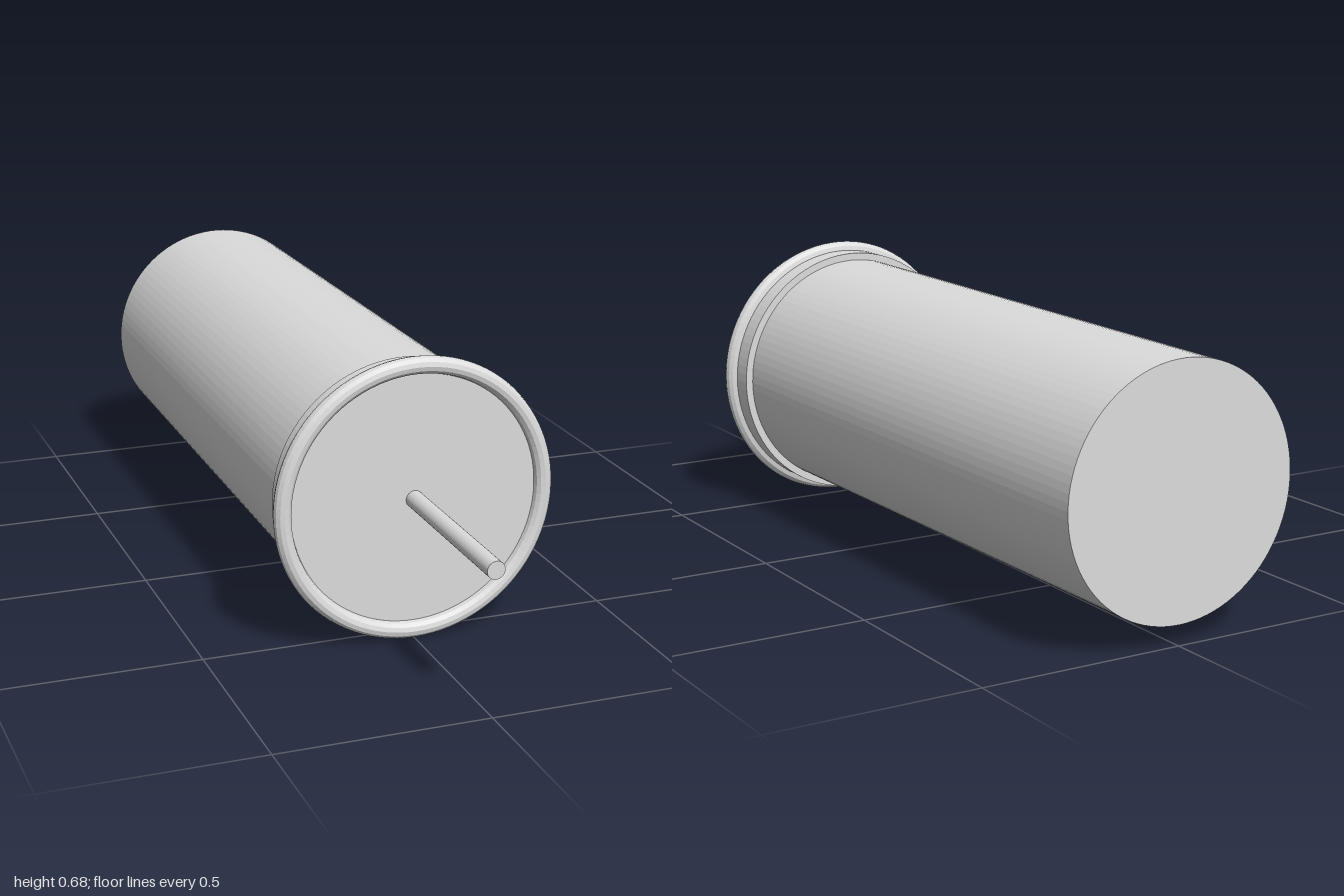
import * as THREE from 'three';

export function createModel() {
  const model = new THREE.Group();
  const grey = new THREE.MeshStandardMaterial({ color: 0xdcdcdc });
  grey.name = 'light grey';
  const axisY = 0.342;

  // Every part is finely faceted, with one normal per face
  const add = (name, geometry, z) => {
    const faceted = geometry.toNonIndexed();
    faceted.computeVertexNormals();
    const mesh = new THREE.Mesh(faceted, grey);
    mesh.name = name;
    mesh.position.set(0, axisY, z);
    model.add(mesh);
  };
  // Closed cylinder along z, from the back to the front
  const barrel = (name, rFront, rBack, z0, z1, sides) =>
    add(name, new THREE.CylinderGeometry(rFront, rBack, z1 - z0, sides).rotateX(Math.PI / 2), (z0 + z1) / 2);

  // Slightly tapered can, with its flat front face inside the rim
  barrel('body', 0.302, 0.294, -1, 0.542, 96);
  // Stepped band behind the rim
  barrel('collar', 0.32, 0.32, 0.467, 0.54, 96);
  // Thin pin out of the front face
  barrel('pin', 0.021, 0.021, 0.5, 1, 32);
  // Rolled rim
  add('rim', new THREE.TorusGeometry(0.321, 0.021, 12, 96), 0.543);

  return model;
}
